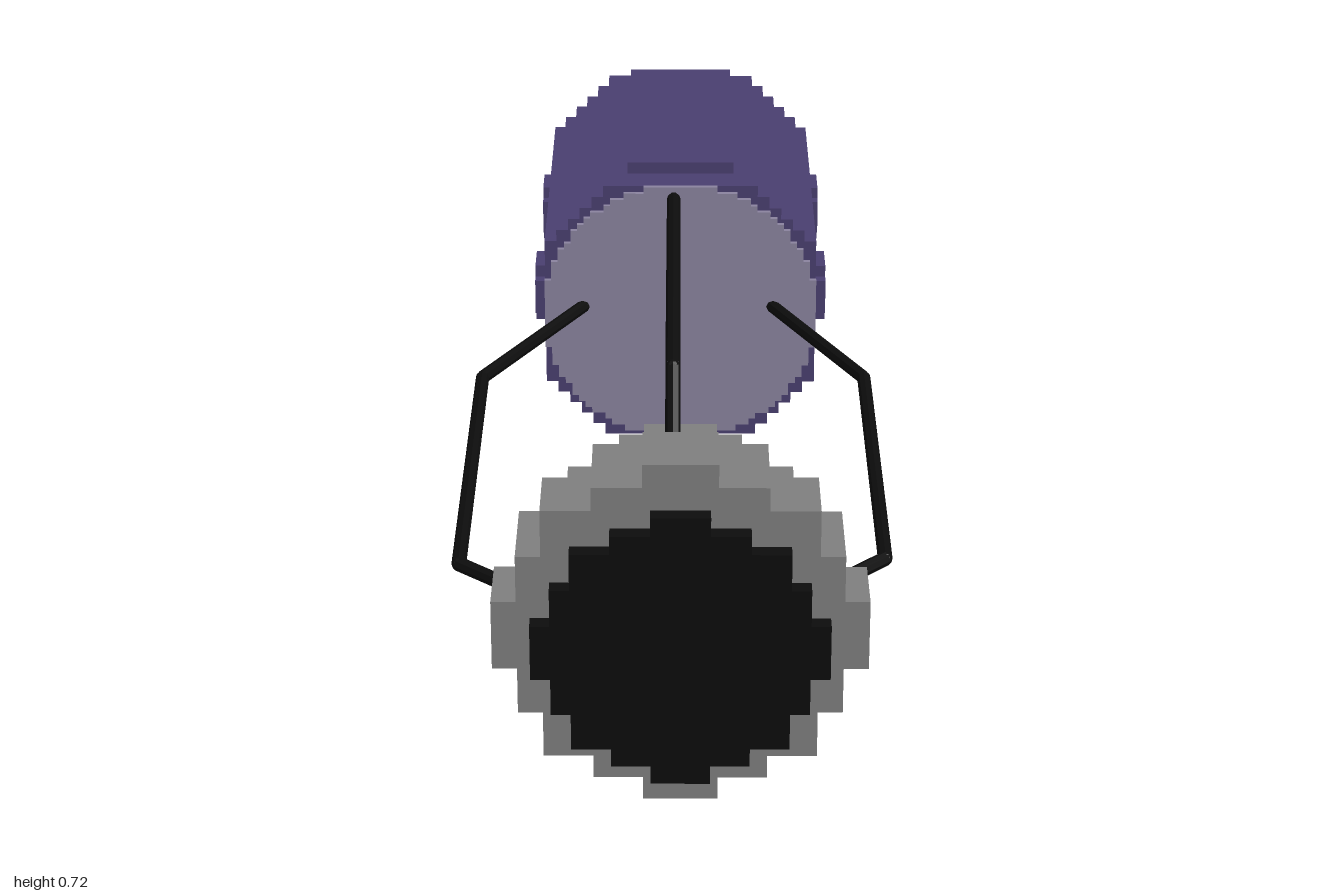
import * as THREE from 'three';
import { mergeGeometries } from 'three/addons/utils/BufferGeometryUtils.js';

const CX = 0.012, CY = 0.345; // shared axis of all the stepped discs

const mat = (color) => new THREE.MeshStandardMaterial({ color, flatShading: true });

// Outline of a disc made of square cells: cell (i, j) is filled while i² + j² <= limit
function steppedOutline(cell, limit, clip = Infinity) {
  const n = Math.min(clip, Math.floor(Math.sqrt(limit)));
  const right = [], left = [];
  for (let j = -n; j <= n; j++) {
    const x = (Math.min(clip, Math.floor(Math.sqrt(limit - j * j))) + 0.5) * cell;
    for (const y of [(j - 0.5) * cell, (j + 0.5) * cell]) {
      right.push(new THREE.Vector2(x, y));
      left.unshift(new THREE.Vector2(-x, y));
    }
  }
  return [...right, ...left].filter((p, i, all) => i === 0 || !p.equals(all[i - 1]));
}

// Stepped disc from z0 to z1 (z0 < z1), optionally with a stepped hole
function steppedDisc(cell, limit, z0, z1, { clip, hole } = {}) {
  const shape = new THREE.Shape(steppedOutline(cell, limit, clip));
  if (hole) shape.holes.push(new THREE.Path(steppedOutline(cell, hole)));
  return new THREE.ExtrudeGeometry(shape, { depth: z1 - z0, bevelEnabled: false }).translate(CX, CY, z0);
}

// Box placed relative to the axis, non-indexed so it merges with the discs
function box(x, y, z, w, h, d) {
  return new THREE.BoxGeometry(w, h, d).translate(CX + x, CY + y, z).toNonIndexed();
}

// Bent wire: straight rods with ball joints
function wire(points, r) {
  const parts = [];
  const pts = points.map((p) => new THREE.Vector3(...p));
  pts.forEach((p, i) => {
    parts.push(new THREE.SphereGeometry(r, 8, 6).translate(p.x, p.y, p.z));
    if (i === 0) return;
    const path = new THREE.LineCurve3(pts[i - 1], p);
    parts.push(new THREE.TubeGeometry(path, 1, r, 8, false));
  });
  return mergeGeometries(parts);
}

export function createModel() {
  const group = new THREE.Group();
  const black = mat(0x0d0d0d);
  const grey = mat(0x7f7f7f);
  const purple = mat(0x4a3f70);
  const add = (name, geometry, material) => {
    const mesh = new THREE.Mesh(geometry, material);
    mesh.name = name;
    group.add(mesh);
  };

  // Front plate
  add('frontPlate', steppedDisc(0.031, 50, 0.972, 1), black);

  // Nose dome: discs shrinking towards the back
  const g = 0.0393;
  const domeLimits = [50, 50, 50, 45, 39, 35, 31, 27, 22, 17, 12, 6, 2];
  add('dome', mergeGeometries(domeLimits.map((limit, k) =>
    steppedDisc(g, limit, 0.942 - (k + 1) * g, 0.942 - k * g))), grey);

  // Small bulb at the tip of the dome
  const bulb = [[2, 0.345, 0.36], [5, 0.36, 0.378], [10, 0.378, 0.412], [5, 0.412, 0.435]];
  add('tipBulb', mergeGeometries(bulb.map(([limit, z0, z1]) =>
    steppedDisc(0.0085, limit, z0, z1))), mat(0xc4b838));

  // Rear body: stepped barrel with raised panels
  const c = 0.0222;
  const body = [
    steppedDisc(c, 157, -0.955, -0.335, { clip: 11 }),
    steppedDisc(c, 130, -0.972, -0.955),
  ];
  for (const s of [-1, 1]) {
    body.push(box(0, s * 12 * c, -0.665, 9 * c, c, 0.53)); // top and bottom panels
    for (const z of [-0.88, -0.467]) { // side lugs
      body.push(box(s * 12 * c, 0, z, c, 3 * c, 0.12));
      body.push(box(s * 12 * c, 0, z, c, 5 * c, 0.075));
    }
  }
  add('rearBody', mergeGeometries(body), purple);

  // Pale face closing the front of the body
  add('bodyFace', steppedDisc(0.0125, 425, -0.335, -0.325), mat(0x8b84a0));

  // Ring on the back
  add('backRing', steppedDisc(0.0152, 200, -1, -0.97, { hole: 60 }), black);

  // Four wires linking the dome and the body
  const wires = {
    topWire: [[0, 0.61, 0.81], [0, 0.705, 0.72], [0, 0.705, 0], [0, 0.545, -0.33]],
    bottomWire: [[0, 0.11, 0.71], [0, 0.013, 0.62], [0, 0.013, -0.11], [0, 0.12, -0.33]],
    rightWire: [[-0.255, 0.36, 0.81], [-0.345, 0.36, 0.73], [-0.345, 0.36, 0], [-0.17, 0.36, -0.33]],
    leftWire: [[0.265, 0.36, 0.79], [0.343, 0.36, 0.71], [0.343, 0.36, 0], [0.185, 0.36, -0.33]],
  };
  for (const [name, points] of Object.entries(wires)) add(name, wire(points, 0.012), black);
  return group;
}
